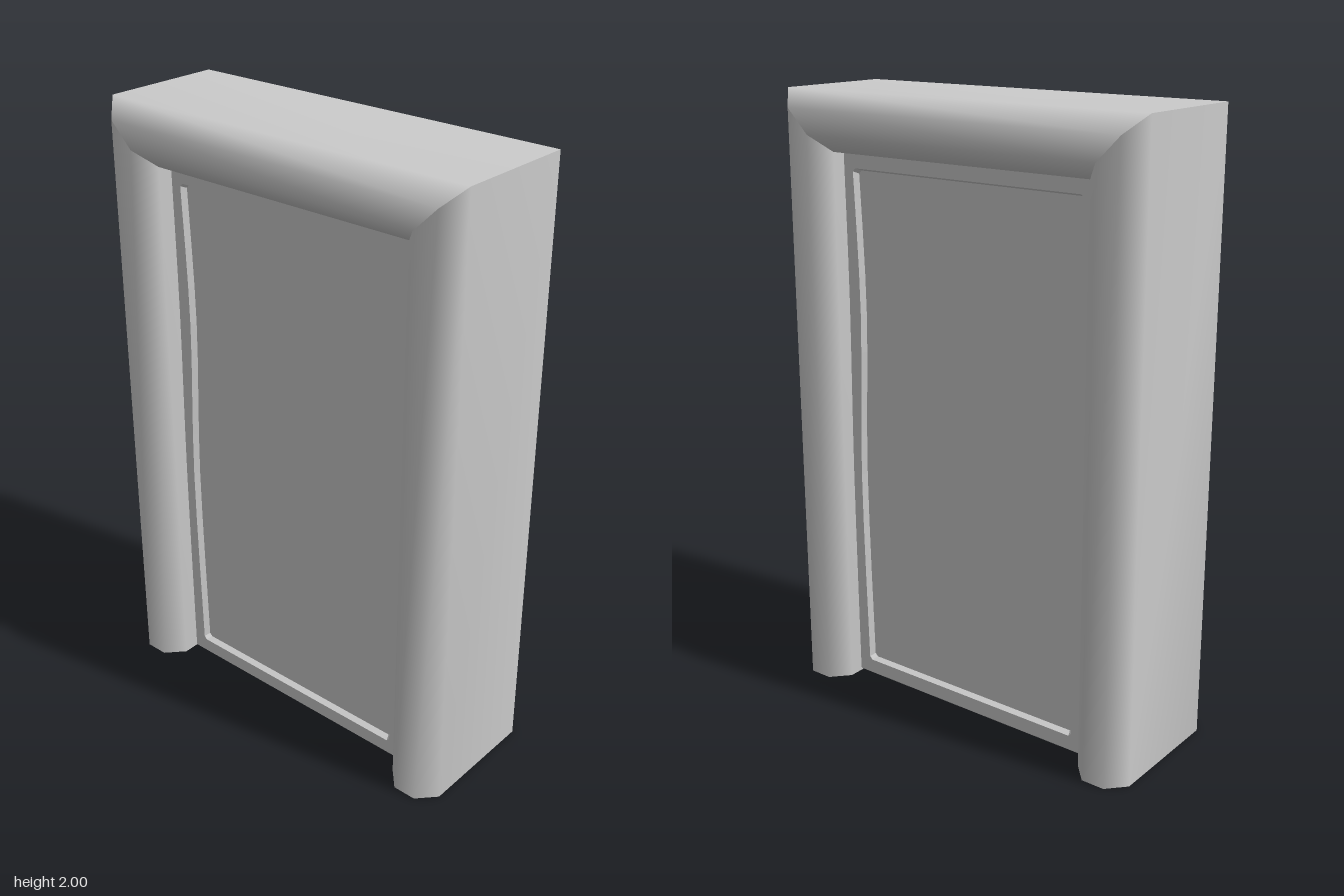
import * as THREE from 'three';

const smooth = new THREE.MeshStandardMaterial({ color: 0xcccccc });
const flat = new THREE.MeshStandardMaterial({ color: 0xcccccc, flatShading: true });

// Skin a row of closed rings; endCaps gives the triangles over the first and last ring
function loft(rings, endCaps) {
  const n = rings[0].length;
  const index = [];
  for (let r = 0; r < rings.length - 1; r++) {
    for (let k = 0; k < n; k++) {
      const a = r * n + k, b = r * n + (k + 1) % n;
      index.push(a, b, b + n, a, b + n, a + n);
    }
  }
  const geometry = new THREE.BufferGeometry();
  geometry.setAttribute('position', new THREE.Float32BufferAttribute(rings.flat(2), 3));
  geometry.setIndex([...index, ...endCaps(n, (rings.length - 1) * n)]);
  geometry.computeVertexNormals();
  return geometry;
}

// Bevelled frame profile: [distance inward from the outer edge, x]
const profile = [
  [0, -0.205], [0, 0.205], [0.055, 0.264], [0.133, 0.264],
  [0.187, 0.205], [0.187, -0.205], [0.133, -0.264], [0.055, -0.264],
];
const W = 0.664, H = 2;
// Profile placed at the left foot, left mitre, right mitre and right foot
const stations = [
  ([u, x]) => [x, 0, W - u],
  ([u, x]) => [x, H - u, W - u],
  ([u, x]) => [x, H - u, u - W],
  ([u, x]) => [x, 0, u - W],
].map((place) => profile.map(place));

// One straight frame member between two stations, closed at its foot if it has one
function member(s) {
  return loft([stations[s], stations[s + 1]], (n, last) => {
    const cap = [];
    for (let k = 1; k < n - 1; k++) {
      if (s === 0) cap.push(0, k + 1, k);
      if (s === 2) cap.push(last, last + k, last + k + 1);
    }
    return cap;
  });
}

// Gentle warp of the door sides, from bottom to top
const warp = new THREE.SplineCurve([
  new THREE.Vector2(-0.004, 0), new THREE.Vector2(0.008, 0.4),
  new THREE.Vector2(-0.009, 0.73), new THREE.Vector2(0.006, 1),
]).getPoints(12);

// Door outline at depth x, with warped sides and clipped corners
function outline(x, halfWidth, y0, y1, warpAmount, clip) {
  const side = warp.map((p) => [
    halfWidth + p.x * warpAmount, y0 + clip + p.y * (y1 - y0 - 2 * clip)]);
  const half = [
    [side[0][0] - clip, y0], ...side, [side[side.length - 1][0] - clip, y1],
  ];
  const mirrored = half.map(([z, y]) => [-z, y]).reverse();
  return [...half, ...mirrored].map(([z, y]) => [x, y, z + 0.003]).reverse();
}

// Door slab: a raised, slightly bevelled rim around a recessed panel on both faces
function doorGeometry() {
  const faceRings = [
    [0.143, 0.42, 0.069, 1.754, 1, 0.01],
    [0.163, 0.428, 0.062, 1.762, 1, 0.01],
    [0.163, 0.468, 0.015, 1.807, 0.35, 0.004],
    [0.157, 0.474, 0.009, 1.813, 0.35, 0.004],
  ];
  const back = faceRings.map(([x, ...rest]) => outline(-x, ...rest));
  const front = faceRings.map((args) => outline(...args)).reverse();
  return loft([...back, ...front], (n, last) => {
    const caps = [];
    for (let i = 0; i < n / 2 - 1; i++) {
      const a = i, b = i + 1, c = n - 2 - i, d = n - 1 - i;
      caps.push(a, c, b, a, d, c);
      caps.push(last + a, last + b, last + c, last + a, last + c, last + d);
    }
    return caps;
  });
}

export function createModel() {
  const model = new THREE.Group();
  model.name = 'doorway';
  const add = (name, geometry, material, parent) => {
    const mesh = new THREE.Mesh(geometry, material);
    mesh.name = name;
    parent.add(mesh);
  };

  const frame = new THREE.Group();
  frame.name = 'doorFrame';
  model.add(frame);
  ['leftJamb', 'head', 'rightJamb'].forEach((name, s) => add(name, member(s), smooth, frame));

  add('door', doorGeometry(), flat, model);
  return model;
}
